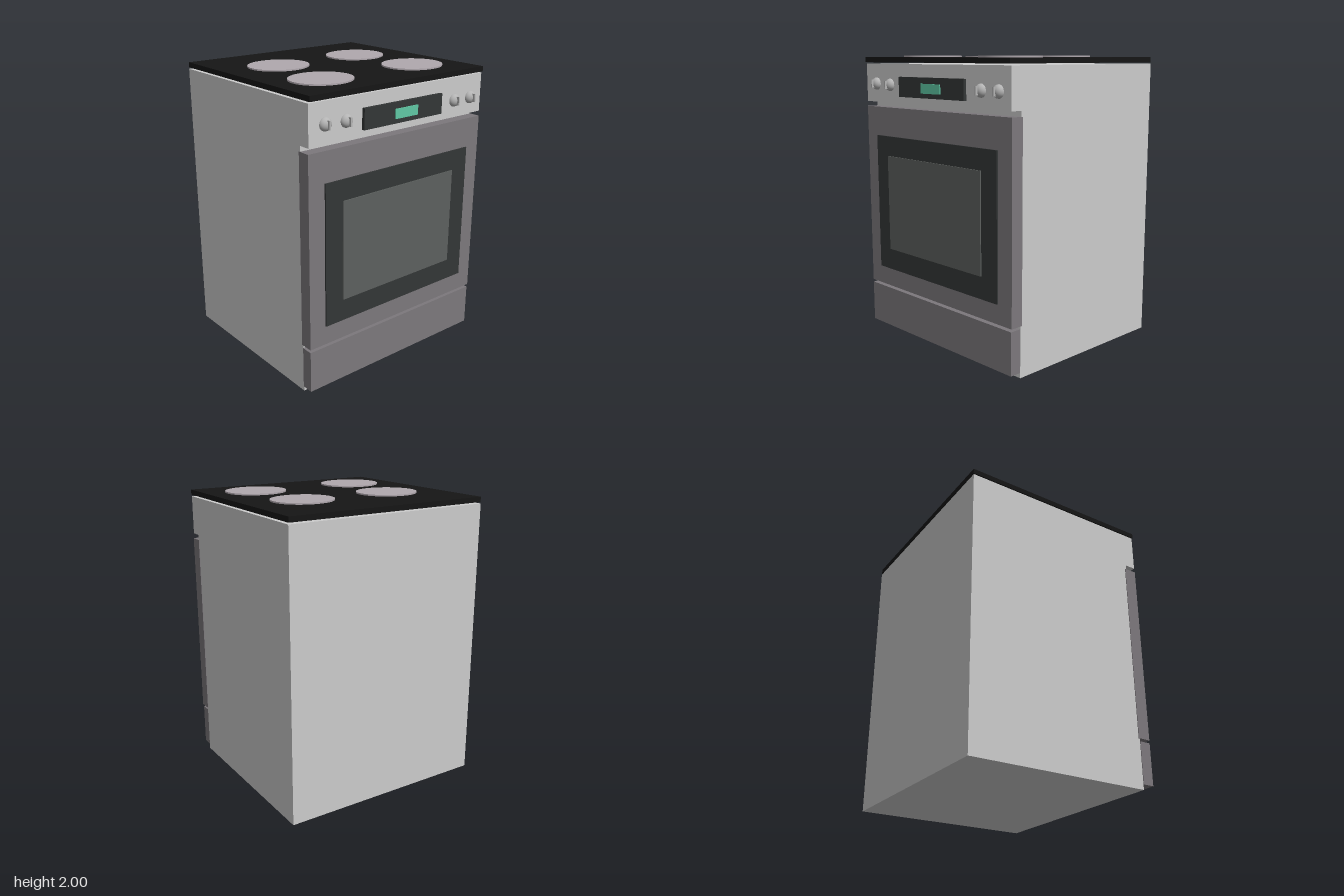
import * as THREE from 'three';

const paint = (color) => new THREE.MeshStandardMaterial({ color });

export function createModel() {
  const stove = new THREE.Group();
  stove.name = 'stove';

  const grey = paint(0xcccccc);
  const steel = paint(0x7c787c);
  const black = paint(0x151515);
  const darkGlass = paint(0x333636);
  const windowGlass = paint(0x5c605e);
  const green = paint(0x60c8a4);
  const burnerGrey = paint(0xb0a8ae);
  const knobGrey = paint(0xb4b4b4);

  // Box given by its extents along each axis
  function box(name, material, [x0, x1], [y0, y1], [z0, z1], parent = stove) {
    const mesh = new THREE.Mesh(new THREE.BoxGeometry(x1 - x0, y1 - y0, z1 - z0), material);
    mesh.position.set((x0 + x1) / 2, (y0 + y1) / 2, (z0 + z1) / 2);
    mesh.name = name;
    parent.add(mesh);
    return mesh;
  }

  // Cabinet, with the cooktop floating just above it
  box('body', grey, [-0.71, 0.58], [0, 1.945], [-0.737, 0.737]);
  box('controlPanel', grey, [0.58, 0.66], [1.68, 1.945], [-0.737, 0.737]);
  box('cooktop', black, [-0.71, 0.673], [1.955, 1.99], [-0.735, 0.735]);

  // Cooking zones: slightly oval discs
  [[-0.2, -0.338], [-0.2, 0.335], [0.335, -0.395], [0.335, 0.39]].forEach(([x, z]) => {
    const burner = new THREE.Mesh(new THREE.CylinderGeometry(1, 1, 0.01, 48), burnerGrey);
    burner.scale.set(0.198, 1, 0.215);
    burner.position.set(x, 1.995, z);
    burner.name = 'burner';
    stove.add(burner);
  });

  // Oven door and drawer
  box('ovenDoor', steel, [0.57, 0.66], [0.345, 1.645], [-0.741, 0.741]);
  box('doorFrame', darkGlass, [0.655, 0.67], [0.478, 1.443], [-0.62, 0.62]);
  box('doorWindow', windowGlass, [0.665, 0.678], [0.63, 1.305], [-0.478, 0.487]);
  box('drawer', steel, [0.58, 0.66], [0.035, 0.325], [-0.735, 0.741]);

  // Display
  box('displayPanel', darkGlass, [0.655, 0.682], [1.725, 1.86], [-0.338, 0.33]);
  box('displayScreen', green, [0.675, 0.69], [1.756, 1.82], [-0.113, 0.08]);

  // Domed knobs with a thin upright grip
  [[1.807, 0.615], [1.802, 0.455], [1.792, -0.475], [1.792, -0.63]].forEach(([y, z]) => {
    const knob = new THREE.Group();
    knob.name = 'knob';
    knob.position.set(0.66, y, z);
    const dome = new THREE.Mesh(
      new THREE.SphereGeometry(0.043, 28, 12, 0, Math.PI * 2, 0, Math.PI / 2), knobGrey);
    dome.rotation.z = -Math.PI / 2;
    dome.scale.y = 0.85;
    dome.name = 'knobDome';
    knob.add(dome);
    box('knobGrip', knobGrey, [0.01, 0.05], [-0.028, 0.028], [-0.005, 0.005], knob);
    stove.add(knob);
  });

  return stove;
}
